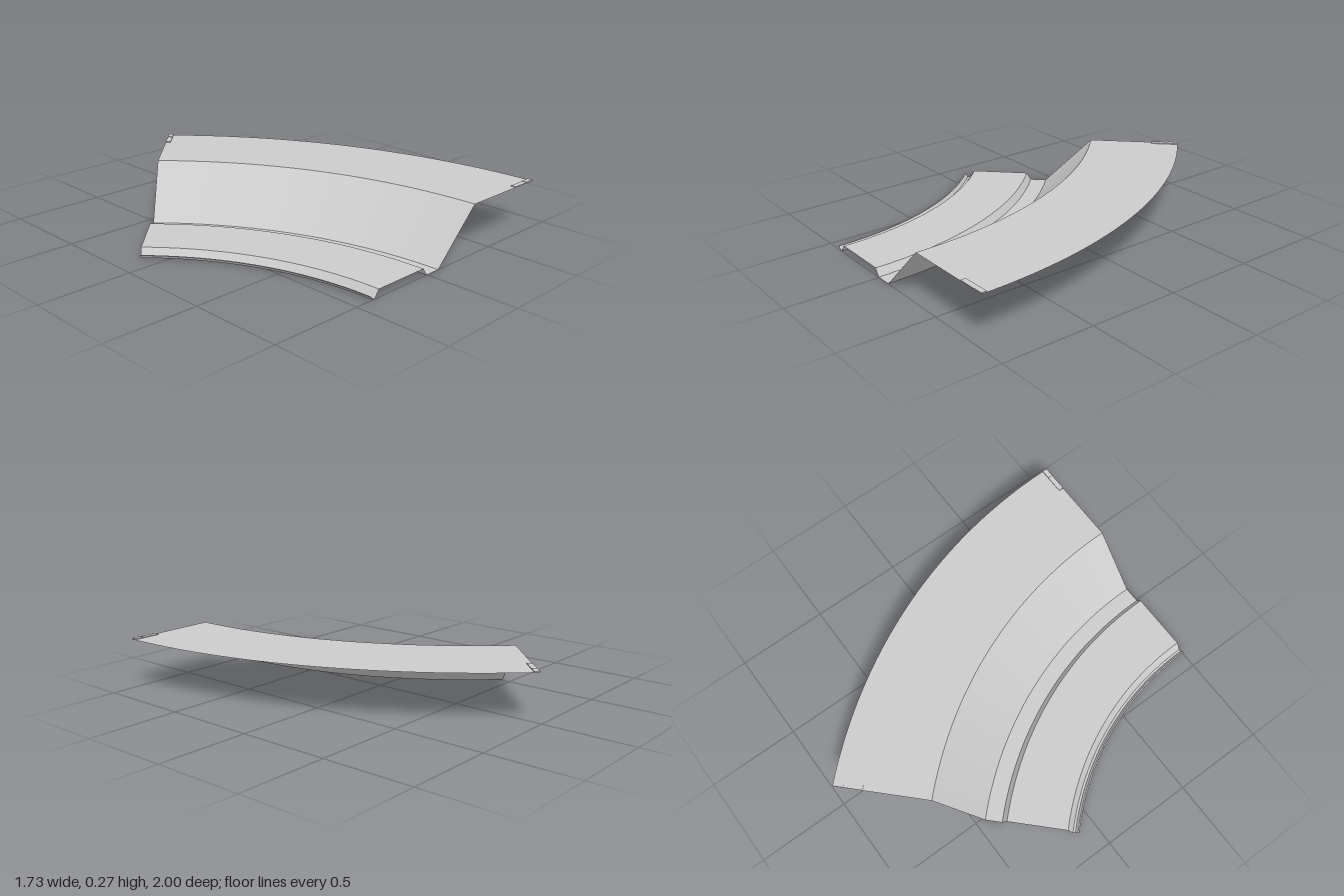
import * as THREE from 'three';

const CENTRE_X = -1.965, CENTRE_Z = 1; // pivot of the 45 degree bend
const ARC = Math.PI / 4;

export function createModel() {
  const group = new THREE.Group();
  const mat = new THREE.MeshStandardMaterial({ color: 0xcccccc, side: THREE.DoubleSide });

  // Cross-section of the bend at its front end: [x, y] from inside to outside
  const bands = [
    ['innerLip', [-0.412, 0.02], [-0.405, 0.02]],
    ['gutterSide', [-0.405, 0.02], [-0.393, 0]],
    ['gutterFloor', [-0.393, 0], [-0.38, 0]],
    ['innerKerb', [-0.38, 0], [-0.352, 0.04]],
    ['walkway', [-0.352, 0.04], [-0.03, 0.04]],
    ['outerKerb', [-0.03, 0.04], [-0.005, 0]],
    ['ditchFloor', [-0.005, 0], [0.085, 0]],
    ['embankment', [0.085, 0], [0.355, 0.266]],
    ['upperGround', [0.355, 0.266], [0.865, 0.266]],
  ];
  for (const [name, a, b] of bands) {
    // outer point first, so the surface faces up
    const pts = [b, a].map(([x, y]) => new THREE.Vector2(x - CENTRE_X, y));
    const band = new THREE.Mesh(new THREE.LatheGeometry(pts, 40, Math.PI / 2, ARC), mat);
    band.name = name;
    band.position.set(CENTRE_X, 0, CENTRE_Z);
    group.add(band);
  }

  // Thin stepped plates on the upper ground, one at each end of the bend
  [0, ARC].forEach((angle, i) => {
    const end = new THREE.Group();
    end.name = i ? 'backEndPlate' : 'frontEndPlate';
    end.position.set(CENTRE_X, 0, CENTRE_Z);
    end.rotation.y = angle;
    for (const [name, x0, x1, h] of [['lowStep', 0.71, 0.81, 0.004], ['highStep', 0.81, 0.863, 0.006]]) {
      const plate = new THREE.Mesh(new THREE.BoxGeometry(x1 - x0, h, 0.028), mat);
      plate.name = name;
      plate.position.set((x0 + x1) / 2 - CENTRE_X, 0.266 + h / 2, i ? 0.014 : -0.014);
      end.add(plate);
    }
    group.add(end);
  });
  return group;
}
